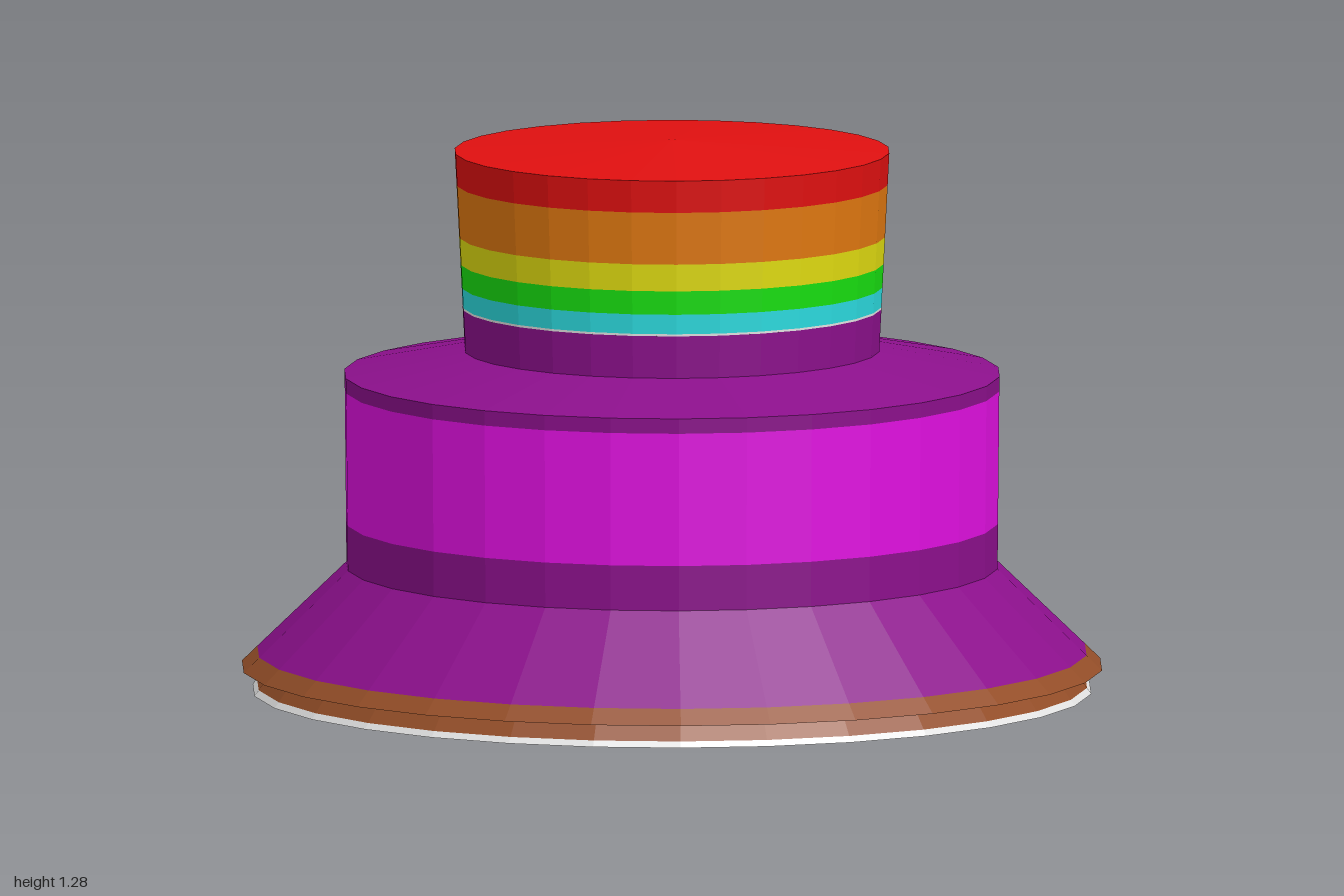
import * as THREE from 'three';

const SIDES = 30;

const paint = (name, color) => {
  const m = new THREE.MeshStandardMaterial({ color });
  m.name = name;
  return m;
};

// Faceted ring turned from a profile of [radius, height], listed bottom to top
function turned(name, material, profile) {
  const points = profile.map(([r, y]) => new THREE.Vector2(r, y));
  const geometry = new THREE.LatheGeometry(points, SIDES, Math.PI / 2).toNonIndexed();
  geometry.computeVertexNormals();
  const mesh = new THREE.Mesh(geometry, material);
  mesh.name = name;
  return mesh;
}

export function createModel() {
  const white = paint('white', 0xe6e6e6);
  const brown = paint('brown', 0x944e28);
  const purple = paint('purple', 0x8c108c);
  const magenta = paint('magenta', 0xe010e0);
  const cyan = paint('cyan', 0x2cdce0);
  const green = paint('green', 0x18e010);
  const yellow = paint('yellow', 0xe0dc10);
  const orange = paint('orange', 0xe07810);
  const red = paint('red', 0xe01010);

  const model = new THREE.Group();
  model.name = 'tieredBody';

  // Foot: brown underside, pale edge, undercut groove and brown rim
  model.add(
    turned('underside', brown, [[0, 0], [0.915, 0]]),
    turned('footEdge', white, [[0.915, 0], [0.975, 0], [0.965, 0.014]]),
    turned('footRim', brown, [[0.965, 0.014], [0.937, 0.052], [1, 0.055], [0.964, 0.09]]),
  );

  // Flared skirt and the wide drum with its bright band
  model.add(
    turned('skirt', purple, [[0.964, 0.09], [0.757, 0.29], [0.758, 0.395]]),
    turned('drumBand', magenta, [[0.758, 0.395], [0.761, 0.705]]),
    turned('shoulder', purple, [[0.761, 0.705], [0.762, 0.74], [0.482, 0.795], [0.487, 0.894]]),
  );

  // Rainbow bands on the slightly flaring neck
  const neckRadius = (y) => 0.482 + (y - 0.795) * 0.05;
  const bands = [
    ['whiteBand', white, 0.894, 0.899],
    ['cyanBand', cyan, 0.899, 0.945],
    ['greenBand', green, 0.945, 1.0],
    ['yellowBand', yellow, 1.0, 1.063],
    ['orangeBand', orange, 1.063, 1.185],
    ['redBand', red, 1.185, 1.26],
  ];
  for (const [name, material, low, high] of bands) {
    model.add(turned(name, material, [[neckRadius(low), low], [neckRadius(high), high]]));
  }

  // Shallow conical lid with a tiny flat tip
  model.add(turned('lid', red, [[neckRadius(1.26), 1.26], [0.013, 1.285], [0, 1.285]]));

  return model;
}
